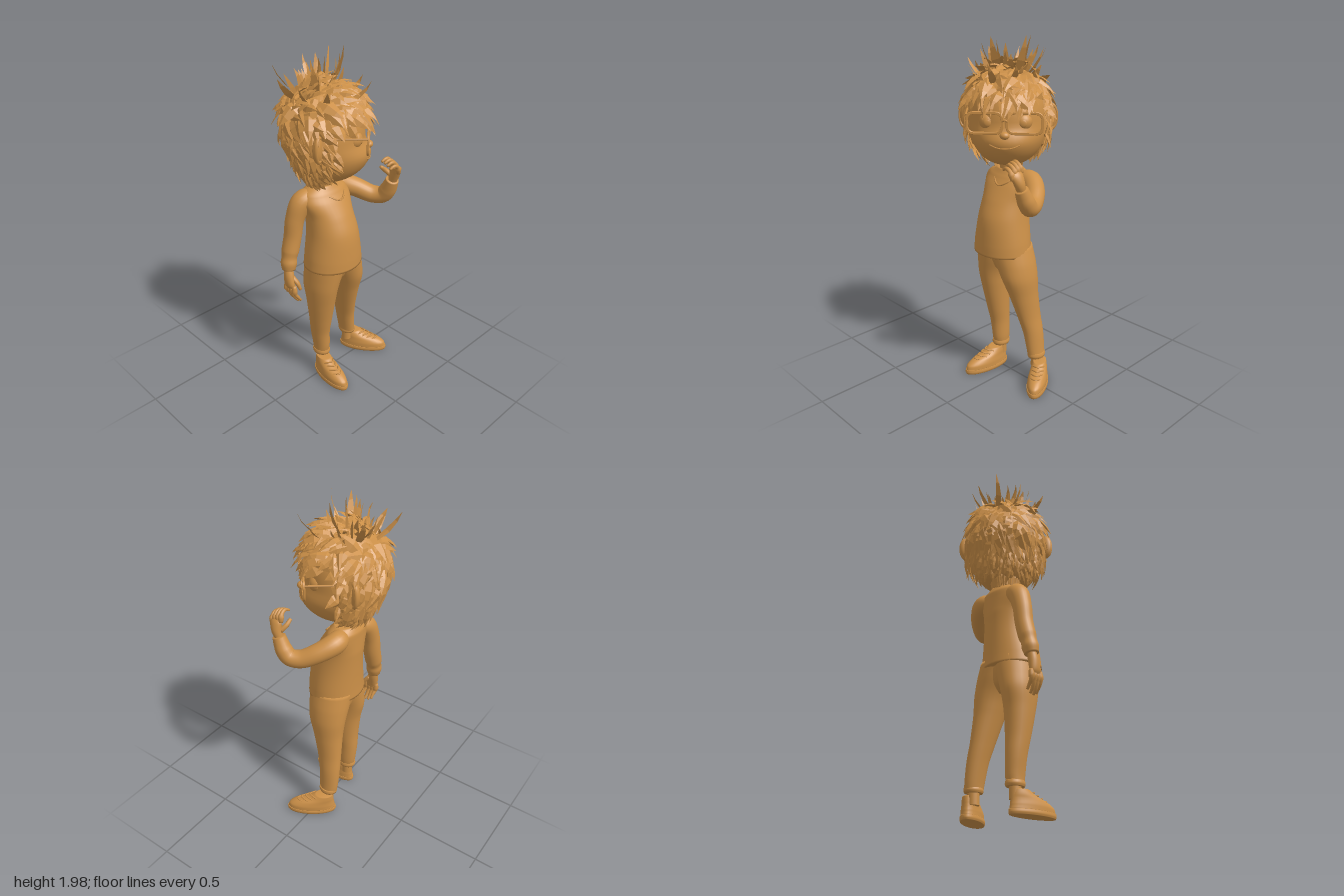
import * as THREE from 'three';
import { mergeGeometries } from 'three/addons/utils/BufferGeometryUtils.js';

const V = (x, y, z) => new THREE.Vector3(x, y, z);
const smooth = new THREE.MeshStandardMaterial({ color: 0xcc9048 });
const faceted = new THREE.MeshStandardMaterial({ color: 0xcc9048, flatShading: true, side: THREE.DoubleSide });

function add(parent, name, geometry, material = smooth) {
  const mesh = new THREE.Mesh(geometry, material);
  mesh.name = name;
  parent.add(mesh);
  return mesh;
}

// Closed skin over rings [x, y, z, ra, rb]; level rings stay horizontal, others follow the path
function loft(rows, level = false, sides = 24, steps = 6) {
  const path = new THREE.CatmullRomCurve3(rows.map(r => V(r[0], r[1], r[2])));
  const size = new THREE.CatmullRomCurve3(rows.map(r => V(r[3], r[4] ?? r[3], 0)));
  const count = (rows.length - 1) * steps, pos = [], index = [];
  const n = V(1, 0, 0.01), t = V(0, 1, 0), b = V(0, 0, 0);
  for (let j = -1; j <= count + 1; j++) {
    const u = Math.min(Math.max(j / count, 0), 1), p = path.getPoint(u), s = size.getPoint(u);
    if (!level) t.copy(path.getTangent(u));
    n.addScaledVector(t, -n.dot(t)).normalize();
    b.crossVectors(t, n);
    const k = j < 0 || j > count ? 0.001 : 1;
    for (let i = 0; i < sides; i++) {
      const a = i / sides * Math.PI * 2;
      const q = p.clone().addScaledVector(n, Math.cos(a) * s.x * k).addScaledVector(b, Math.sin(a) * s.y * k);
      pos.push(q.x, q.y, q.z);
      if (j <= count) {
        const r = (j + 1) * sides, i2 = (i + 1) % sides;
        index.push(r + i, r + i2, r + sides + i2, r + i, r + sides + i2, r + sides + i);
      }
    }
  }
  const g = new THREE.BufferGeometry();
  g.setAttribute('position', new THREE.Float32BufferAttribute(pos, 3));
  g.setIndex(index);
  g.computeVertexNormals();
  return g;
}

const line = (pts, r, closed = false) =>
  new THREE.TubeGeometry(new THREE.CatmullRomCurve3(pts.map(p => V(...p)), closed), 40, r, 6, closed);

// Skull surface along a direction: squared ellipsoid, fuller at the lower face, narrower at the nape
function skull(d, scale = 1) {
  const u = d.clone().normalize(), e = 2.3;
  const k = scale * Math.pow(Math.hypot(u.x, u.z) ** e + Math.abs(u.y) ** e, -1 / e);
  const low = THREE.MathUtils.smoothstep(-u.y, -0.05, 0.4);
  const depth = u.z > 0 ? 0.222 + 0.045 * low : 0.205 - 0.02 * low;
  const nape = 1 - 0.1 * low * Math.max(0, -u.z);
  return V(u.x * 0.212 * k * nape, 1.535 + u.y * (u.y > 0 ? 0.265 : 0.245) * k, u.z * depth * k * nape);
}
const hairy = d => d.y > 0.5 || (d.y > -0.78 && d.z < 0.34 + 0.5 * Math.min(0, d.y + 0.1));

function skullShell(scaleOf) {
  const g = new THREE.SphereGeometry(1, 48, 36), p = g.attributes.position;
  for (let i = 0; i < p.count; i++) {
    const d = V(0, 0, 0).fromBufferAttribute(p, i), q = skull(d, scaleOf(d));
    p.setXYZ(i, q.x, q.y, q.z);
  }
  g.computeVertexNormals();
  return g;
}

// One pointed lock with a triangular section, running through given points
function lock(points, side, out, width) {
  const pos = [], index = [], taper = [0.7, 1, 0.6, 0.02];
  points.forEach((p, j) => {
    const w = width * taper[j];
    for (const q of [p.clone().addScaledVector(side, -w), p.clone().addScaledVector(side, w),
      p.clone().addScaledVector(out, w * 0.45)]) pos.push(q.x, q.y, q.z);
    for (let i = 0; i < 3 && j < 3; i++) {
      const a = j * 3 + i, b = j * 3 + (i + 1) % 3;
      index.push(a, b, b + 3, a, b + 3, a + 3);
    }
  });
  const g = new THREE.BufferGeometry();
  g.setAttribute('position', new THREE.Float32BufferAttribute(pos, 3));
  g.setIndex(index);
  g.computeVertexNormals();
  return g;
}

function hairLocks() {
  let seed = 7;
  const rnd = () => (seed = (seed * 16807) % 2147483647) / 2147483647;
  const crown = V(0, 0.8, -0.6), locks = [], total = 680;
  for (let i = 0; i < total; i++) {
    const y = 1 - 2 * (i + 0.5) / total, r = Math.sqrt(1 - y * y), a = i * 2.39996;
    const d = V(Math.cos(a) * r, y, Math.sin(a) * r);
    if (!hairy(d)) continue;
    const fringe = d.z > 0.25 && y < 0.75;
    const flow = d.clone().sub(crown).add(V(rnd() - 0.5, rnd() - 0.5, rnd() - 0.5).multiplyScalar(1.3));
    if (y < 0.2) flow.y -= 0.6;
    flow.addScaledVector(d, -flow.dot(d)).normalize();
    const side = V(0, 0, 0).crossVectors(d, flow);
    side.addScaledVector(d, rnd() - 0.5).normalize();
    const spike = y > 0.74 && rnd() < 0.35;
    const length = y < -0.2 ? 0.2 + 0.2 * rnd() : d.z > 0.1 && y < 0.5 ? 0.25 : 0.35 + 0.3 * rnd();
    const lift = (fringe ? 0.14 : y > 0.5 ? 0.1 : 0.02) + (y > 0.5 ? 0.2 : 0.16) * rnd();
    const rise = 0.04 + 0.12 * rnd(), lean = 0.08 * rnd();
    const pts = [0, 0.35, 0.7, 1].map(t => spike
      ? skull(d).addScaledVector(d, rise * t).add(V(0, rise * 0.3 * t, 0)).addScaledVector(flow, lean * t * (1.6 - t))
      : skull(d.clone().addScaledVector(flow, length * t), 1.03 + lift * t));
    locks.push(lock(pts, side, d, spike ? 0.01 + 0.014 * rnd() : y < -0.2 ? 0.015 : 0.018 + 0.022 * rnd()));
  }
  // short locks hanging over the nape
  for (let i = 0; i < 18; i++) {
    const a = Math.PI + (i / 17 - 0.5) * 2.8, d = V(Math.sin(a), 0, Math.cos(a));
    const pts = [0, 0.35, 0.7, 1].map(t => V(d.x * (0.09 - 0.02 * t), 1.35 - (0.1 + 0.03 * rnd()) * t, d.z * (0.1 - 0.02 * t)));
    locks.push(lock(pts, V(d.z, 0, -d.x), d, 0.014));
  }
  return mergeGeometries(locks);
}

function roundedRect(target, w, h, r) {
  target.moveTo(-w + r, -h).lineTo(w - r, -h).quadraticCurveTo(w, -h, w, -h + r).lineTo(w, h - r)
    .quadraticCurveTo(w, h, w - r, h).lineTo(-w + r, h).quadraticCurveTo(-w, h, -w, h - r)
    .lineTo(-w, -h + r).quadraticCurveTo(-w, -h, -w + r, -h);
  return target;
}

function buildHead() {
  const head = new THREE.Group();
  head.name = 'head';
  add(head, 'face', skullShell(() => 1));
  add(head, 'scalp', skullShell(d => hairy(d) ? 1.04 : 0.95), faceted);
  add(head, 'hair', hairLocks(), faceted);
  const nose = add(head, 'nose', new THREE.SphereGeometry(0.024, 20, 14));
  nose.position.set(0, 1.495, 0.24);
  nose.scale.set(1.1, 0.85, 1);
  add(head, 'mouth', line([-0.08, -0.04, 0, 0.04, 0.08].map(x => {
    const p = skull(V(x / 0.212, -0.42 + x * x * 8, 0.88));
    return [p.x, p.y, p.z];
  }), 0.004));
  const rim = roundedRect(new THREE.Shape(), 0.097, 0.058, 0.045);
  rim.holes.push(roundedRect(new THREE.Path(), 0.087, 0.048, 0.038));
  const rimGeometry = new THREE.ExtrudeGeometry(rim, { depth: 0.008, bevelSize: 0.002, bevelThickness: 0.002, bevelSegments: 1 });
  for (const s of [-1, 1]) {
    const eye = add(head, 'eye', new THREE.SphereGeometry(0.05, 24, 18));
    eye.position.set(s * 0.09, 1.555, 0.161);
    const iris = add(head, 'iris', new THREE.SphereGeometry(0.022, 20, 12));
    iris.position.set(s * 0.092, 1.553, 0.203);
    iris.scale.z = 0.4;
    const lid = add(head, 'eyelid', new THREE.TorusGeometry(0.045, 0.007, 8, 28));
    lid.position.set(s * 0.09, 1.555, 0.189);
    lid.scale.y = 0.85;
    lid.rotation.y = s * 0.38;
    const ear = add(head, 'ear', new THREE.SphereGeometry(0.065, 24, 16));
    ear.position.set(s * 0.23, 1.55, -0.005);
    ear.scale.set(0.62, 1.1, 0.35);
    ear.rotation.y = s * 0.35;
    const earRim = add(head, 'earRim', new THREE.TorusGeometry(0.052, 0.011, 8, 28));
    earRim.position.set(s * 0.235, 1.55, 0.0);
    earRim.scale.set(0.62, 1.2, 1);
    earRim.rotation.y = s * 0.35;
    add(head, 'glassesRim', rimGeometry).position.set(s * 0.104, 1.56, 0.236);
    add(head, 'glassesTemple', line([[s * 0.2, 1.6, 0.238], [s * 0.21, 1.6, 0.12], [s * 0.216, 1.595, 0], [s * 0.212, 1.56, -0.03]], 0.006));
  }
  add(head, 'glassesBridge', line([[-0.015, 1.57, 0.242], [0, 1.576, 0.246], [0.015, 1.57, 0.242]], 0.006));
  head.position.set(-0.06, 0, -0.038);
  head.rotation.y = 0.73;
  return head;
}

function buildShoe(name, x, z, yaw) {
  const shoe = new THREE.Group();
  shoe.name = name;
  add(shoe, 'sole', loft([[0, 0.005, 0, 0.056, 0.146], [0, 0.018, 0, 0.06, 0.15], [0, 0.032, 0, 0.058, 0.148]], true, 32));
  add(shoe, 'upper', loft([[0, 0.03, 0, 0.056, 0.145], [0, 0.055, -0.002, 0.055, 0.139], [0, 0.08, -0.02, 0.05, 0.117],
    [0, 0.105, -0.056, 0.044, 0.078], [0, 0.13, -0.078, 0.037, 0.052]], true, 32));
  for (let i = 0; i < 4; i++) {
    const y = 0.086 + i * 0.012, zz = 0.078 - i * 0.026;
    add(shoe, 'lace', line([[-0.034, y - 0.006, zz - 0.025], [0, y + 0.005, zz + 0.008], [0.034, y - 0.006, zz - 0.03]], 0.0045));
  }
  shoe.position.set(x, 0, z);
  shoe.rotation.y = yaw;
  return shoe;
}

export function createModel() {
  const model = new THREE.Group();
  model.name = 'standingBoy';
  model.add(buildHead());

  // Neck, sweater and neckline
  add(model, 'neck', loft([[-0.045, 1.18, -0.045, 0.07, 0.06], [-0.05, 1.26, -0.045, 0.058], [-0.055, 1.36, -0.045, 0.06]], true));
  add(model, 'sweater', loft([[-0.046, 0.79, 0.02, 0.176, 0.152], [-0.045, 0.86, 0.02, 0.168, 0.15], [-0.043, 1.0, 0.012, 0.146, 0.143],
    [-0.046, 1.1, -0.01, 0.14, 0.125], [-0.05, 1.18, -0.032, 0.156, 0.1], [-0.05, 1.228, -0.047, 0.142, 0.083],
    [-0.05, 1.265, -0.05, 0.085, 0.062]], true, 36));
  add(model, 'neckline', line([[0.035, 1.25, -0.04], [0.02, 1.21, 0.04], [-0.03, 1.185, 0.066], [-0.09, 1.215, 0.036],
    [-0.13, 1.25, -0.045], [-0.05, 1.27, -0.112]], 0.005, true));

  // Trousers and shoes; the legs overlap above the crotch and run up under the hem
  add(model, 'trouserSeat', loft([[-0.027, 0.655, 0, 0.025, 0.05], [-0.03, 0.7, 0, 0.06, 0.085], [-0.035, 0.76, 0.005, 0.09, 0.105], [-0.04, 0.83, 0.01, 0.12, 0.115]], true));
  const legs = {
    right: [[-0.105, 0.145, -0.02, 0.042, 0.047], [-0.105, 0.2, -0.02, 0.046, 0.056], [-0.113, 0.3, -0.02, 0.053, 0.062],
      [-0.118, 0.4, -0.01, 0.063, 0.072], [-0.123, 0.55, 0, 0.077, 0.094], [-0.122, 0.65, 0, 0.087, 0.115], [-0.106, 0.74, 0.005, 0.1, 0.124], [-0.09, 0.83, 0.01, 0.11, 0.13]],
    left: [[0.155, 0.145, -0.06, 0.042, 0.055], [0.147, 0.2, -0.06, 0.044, 0.06], [0.132, 0.3, -0.055, 0.05, 0.066],
      [0.113, 0.4, -0.04, 0.056, 0.076], [0.09, 0.55, -0.015, 0.074, 0.095], [0.074, 0.65, 0, 0.09, 0.115], [0.045, 0.74, 0.005, 0.105, 0.124], [0.012, 0.83, 0.01, 0.112, 0.13]],
  };
  for (const [side, rows] of Object.entries(legs)) {
    const [x, , z] = rows[0];
    add(model, side + 'TrouserLeg', loft(rows, true));
    add(model, side + 'TrouserCuff', loft([[x, 0.142, z, 0.044, 0.052], [x, 0.156, z, 0.048, 0.057], [x, 0.172, z, 0.045, 0.054]], true));
    add(model, side + 'Ankle', new THREE.CylinderGeometry(0.032, 0.032, 0.09, 20)).position.set(x, 0.125, z);
  }
  model.add(buildShoe('rightShoe', -0.125, 0.085, -0.12), buildShoe('leftShoe', 0.234, 0.01, 0.6));

  // Right arm hanging, with a relaxed hand
  add(model, 'rightSleeve', loft([[-0.1, 1.205, -0.05, 0.045], [-0.185, 1.18, -0.072, 0.06], [-0.227, 1.09, -0.085, 0.053],
    [-0.245, 0.98, -0.09, 0.05], [-0.265, 0.9, -0.09, 0.049], [-0.276, 0.86, -0.088, 0.043], [-0.282, 0.83, -0.086, 0.046], [-0.288, 0.79, -0.083, 0.038]]));
  add(model, 'rightPalm', loft([[-0.288, 0.8, -0.083, 0.024], [-0.294, 0.75, -0.075, 0.027, 0.032], [-0.297, 0.7, -0.068, 0.022, 0.036], [-0.292, 0.675, -0.064, 0.014, 0.03]]));
  for (let i = 0; i < 4; i++) {
    const z = -0.098 + i * 0.022, drop = [0.02, 0.004, 0, 0.012][i];
    add(model, 'rightFinger', loft([[-0.296, 0.7, z, 0.012], [-0.294, 0.65, z + 0.004, 0.012], [-0.278, 0.61 + drop, z + 0.008, 0.01], [-0.258, 0.582 + drop, z + 0.01, 0.007]], false, 10, 4));
  }
  add(model, 'rightThumb', loft([[-0.285, 0.745, -0.06, 0.015], [-0.272, 0.71, -0.03, 0.013], [-0.262, 0.67, -0.018, 0.009]], false, 10, 4));

  // Left arm bent, with the hand raised to the chin
  add(model, 'leftSleeve', loft([[0.01, 1.21, -0.055, 0.045], [0.085, 1.205, -0.068, 0.06], [0.165, 1.17, -0.02, 0.055], [0.228, 1.13, 0.06, 0.05],
    [0.256, 1.137, 0.115, 0.048], [0.263, 1.175, 0.145, 0.047], [0.262, 1.21, 0.162, 0.042], [0.26, 1.25, 0.178, 0.036]]));
  add(model, 'leftPalm', loft([[0.26, 1.24, 0.176, 0.024], [0.26, 1.28, 0.19, 0.027, 0.03], [0.252, 1.32, 0.2, 0.022, 0.036], [0.24, 1.345, 0.203, 0.014, 0.03]]));
  for (let i = 0; i < 4; i++) {
    const z = 0.168 + i * 0.02, y = [0.012, 0.008, 0, -0.014][i];
    add(model, 'leftFinger', loft([[0.25, 1.32 + y, z, 0.012], [0.236, 1.36 + y, z + 0.004, 0.012], [0.208, 1.375 + y, z + 0.004, 0.01], [0.18, 1.362 + y, z - 0.002, 0.007]], false, 10, 4));
  }
  add(model, 'leftThumb', loft([[0.252, 1.28, 0.172, 0.015], [0.225, 1.31, 0.15, 0.013], [0.195, 1.335, 0.146, 0.009]], false, 10, 4));
  return model;
}
